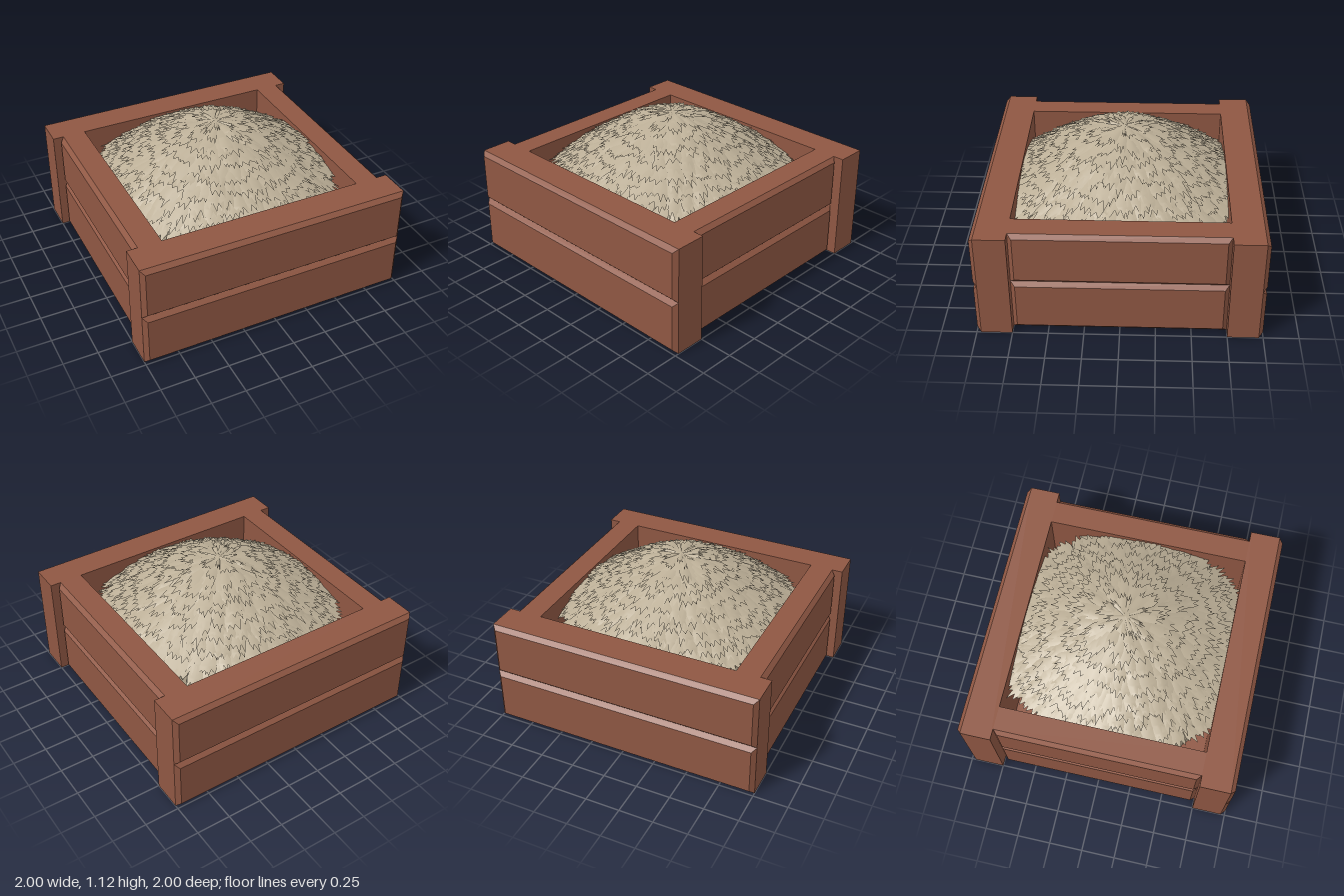
import * as THREE from 'three';

const wood = new THREE.MeshStandardMaterial({ name: 'red brown wood', color: 0x8f5743 });
const straw = new THREE.MeshStandardMaterial({ name: 'pale straw', color: 0xbbae96, side: THREE.DoubleSide });

// Seeded random numbers
let seed = 7;
const rand = () => (seed = (seed * 16807) % 2147483647) / 2147483647;
const vary = (a) => (rand() * 2 - 1) * a;

// Plank whose outer (+z) face has a chamfered rim
function plankGeometry(w, h, d, c = 0.03) {
  const box = new THREE.BoxGeometry(w, h, d, 1, 1, 2);
  const p = box.attributes.position;
  for (let i = 0; i < p.count; i++) {
    const x = p.getX(i), y = p.getY(i), z = p.getZ(i);
    if (z > 0.001) p.setXY(i, x - Math.sign(x) * c, y - Math.sign(y) * c);
    else if (z > -0.001) p.setZ(i, d / 2 - c);
  }
  const g = box.toNonIndexed();
  g.computeVertexNormals();
  return g;
}

// Height of the heap at distance r from its centre
const heapHeight = (r) => 1.345 - Math.hypot(0.23, 0.72 * r);

// One ragged tuft: across (u), along (v); three pointed tips
const TUFT = [[-0.7, 0], [0, 0], [0.7, 0], [-1, 0.5], [0, 0.55], [1, 0.5],
  [-0.8, 0.85], [-0.35, 0.62], [0, 1], [0.35, 0.62], [0.8, 0.85]];
const TUFT_FACES = [0, 1, 4, 0, 4, 3, 1, 2, 5, 1, 5, 4, 3, 4, 7, 3, 7, 6,
  4, 8, 7, 4, 9, 8, 4, 5, 9, 5, 10, 9];

function tuftsGeometry() {
  const pos = [], index = [];
  const limit = (v) => THREE.MathUtils.clamp(v, -0.88, 0.88);
  for (let ring = 0; ring < 16; ring++) {
    const r0 = 0.015 + ring * 0.052;
    const count = Math.max(7, Math.round(r0 * 75));
    for (let k = 0; k < count; k++) {
      const angle = ((k + (ring % 2) / 2) / count) * Math.PI * 2 + vary(0.25 / count);
      const start = Math.max(0.005, r0 + vary(0.025));
      const length = 0.15 + vary(0.035);
      const width = Math.min(0.052, 0.022 + r0 * 0.14) * (1 + vary(0.2));
      const tilt = vary(0.012), skew = vary(0.03), rise = 0.02 + rand() * 0.014;
      const base = pos.length / 3;
      for (const [u, v] of TUFT) {
        const out = start + v * length * (v > 0.8 ? 1 + vary(0.12) : 1);
        const side = u * width * (start < 0.06 ? 0.4 + 0.6 * v : 1) + skew * v;
        const x = out * Math.cos(angle) - side * Math.sin(angle);
        const z = out * Math.sin(angle) + side * Math.cos(angle);
        const lift = 0.004 + rise * v - 0.008 * Math.abs(u) + tilt * u * v;
        pos.push(limit(x), heapHeight(Math.hypot(x, z)) + lift, limit(z));
      }
      for (const f of TUFT_FACES) index.push(base + f);
    }
  }
  const g = new THREE.BufferGeometry();
  g.setAttribute('position', new THREE.Float32BufferAttribute(pos, 3));
  g.setIndex(index);
  g.computeVertexNormals();
  return g;
}

export function createModel() {
  const model = new THREE.Group();
  const add = (parent, name, geometry, material, x = 0, y = 0, z = 0) => {
    const mesh = new THREE.Mesh(geometry, material);
    mesh.name = name;
    mesh.position.set(x, y, z);
    parent.add(mesh);
    return mesh;
  };

  // Crate walls: two planks high, the front and back ones lapping the ends
  const longPlank = plankGeometry(2, 0.4, 0.25);
  const shortPlank = plankGeometry(1.5, 0.4, 0.2);
  const walls = [['front', longPlank, 0.875], ['left', shortPlank, 0.85],
    ['back', longPlank, 0.875], ['right', shortPlank, 0.85]];
  walls.forEach(([side, geometry, distance], i) => {
    const wall = new THREE.Group();
    wall.name = side + 'Wall';
    wall.rotation.y = (i * Math.PI) / 2;
    add(wall, side + 'LowerPlank', geometry, wood, 0, 0.2, distance);
    add(wall, side + 'UpperPlank', geometry, wood, 0, 0.6, distance);
    model.add(wall);
  });

  // Crate floor
  add(model, 'floor', new THREE.BoxGeometry(1.5, 0.1, 1.5), wood, 0, 0.05, 0);

  // Solid heap under the loose tufts
  const profile = [new THREE.Vector2(0.8, 0.1)];
  for (let i = 12; i >= 0; i--) {
    const r = (i / 12) * 0.87;
    profile.push(new THREE.Vector2(r, heapHeight(r)));
  }
  const heap = new THREE.Group();
  heap.name = 'strawHeap';
  add(heap, 'heapCore', new THREE.LatheGeometry(profile, 48), straw);
  add(heap, 'strawTufts', tuftsGeometry(), straw);
  model.add(heap);

  return model;
}
